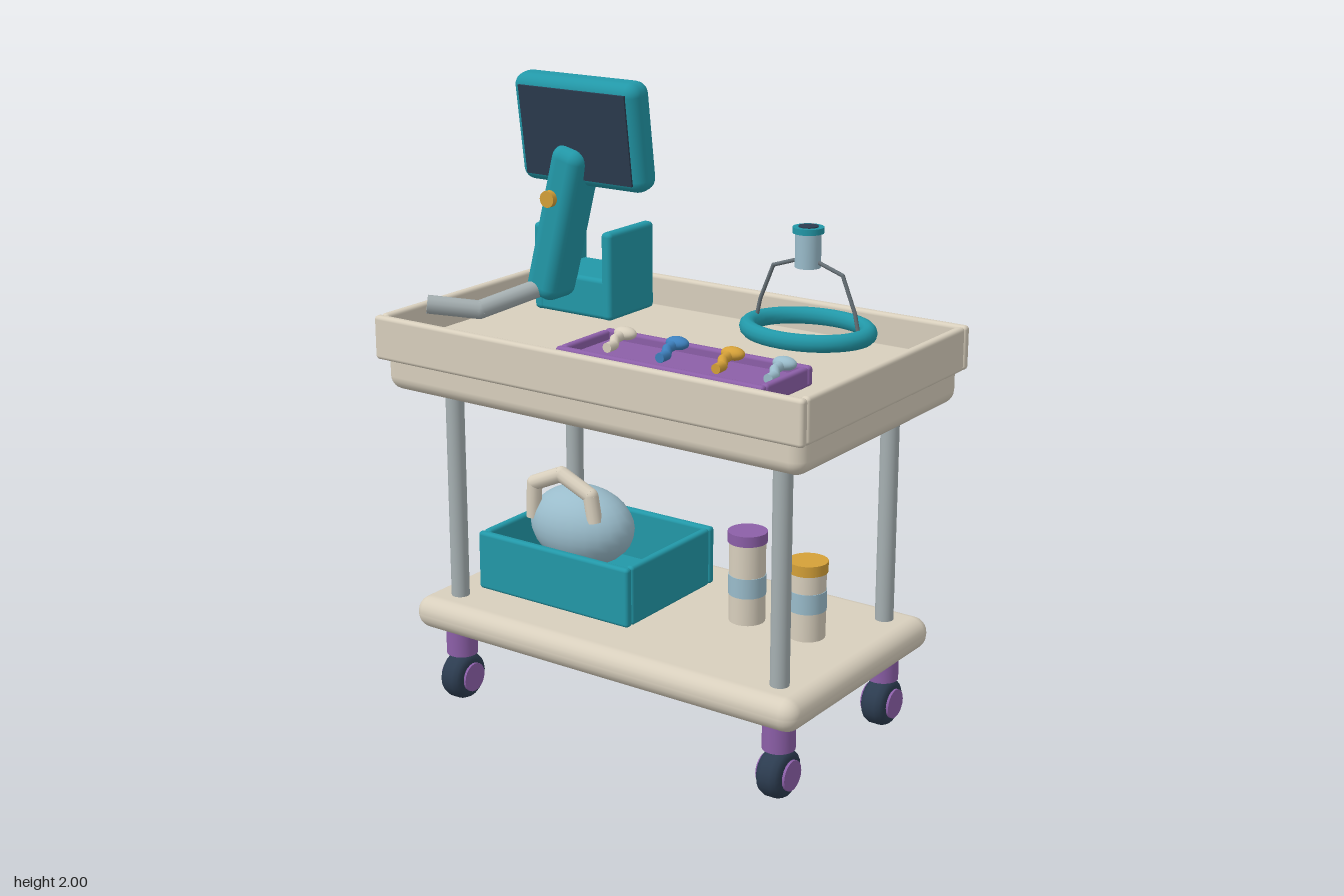
import * as THREE from 'three';
import { RoundedBoxGeometry } from 'three/addons/geometries/RoundedBoxGeometry.js';

const material = (name, color) => {
  const m = new THREE.MeshStandardMaterial({ color });
  m.name = name;
  return m;
};

export function createModel() {
  const model = new THREE.Group();
  model.name = 'equipmentCart';
  const teal = material('teal', 0x2298a8);
  const cream = material('cream', 0xd8cfbd);
  const purple = material('purple', 0x8c5fa8);
  const gold = material('gold', 0xd4a038);
  const navy = material('navy', 0x2c3c50);
  const grey = material('grey', 0xa6b0b2);
  const paleBlue = material('paleBlue', 0x9abccb);
  const blue = material('blue', 0x3d80bd);
  const wire = material('wireGrey', 0x667076);

  const group = (name, parent = model) => {
    const g = new THREE.Group();
    g.name = name;
    parent.add(g);
    return g;
  };
  const add = (name, geometry, mat, x, y, z, parent = model) => {
    const m = new THREE.Mesh(geometry, mat);
    m.name = name;
    m.position.set(x, y, z);
    parent.add(m);
    return m;
  };
  const box = (name, mat, [w, h, d], [x, y, z], r, parent) =>
    add(name, new RoundedBoxGeometry(w, h, d, 3, r), mat, x, y, z, parent);
  const cyl = (name, mat, r, h, [x, y, z], parent, sides = 20) =>
    add(name, new THREE.CylinderGeometry(r, r, h, sides), mat, x, y, z, parent);
  const ball = (name, mat, [rx, ry, rz], [x, y, z], parent) => {
    const m = add(name, new THREE.SphereGeometry(1, 24, 16), mat, x, y, z, parent);
    m.scale.set(rx, ry, rz);
    return m;
  };
  // Round bar through a list of points, with ball joints at the bends
  const bar = (name, mat, r, points, parent = model) => {
    const g = group(name, parent);
    const p = points.map((q) => new THREE.Vector3(...q));
    for (let i = 0; i < p.length - 1; i++) {
      const dir = p[i + 1].clone().sub(p[i]);
      const mid = p[i].clone().add(p[i + 1]).multiplyScalar(0.5);
      const s = cyl(name + 'Segment', mat, r, dir.length(), mid.toArray(), g, 12);
      s.quaternion.setFromUnitVectors(new THREE.Vector3(0, 1, 0), dir.normalize());
      if (i > 0) add(name + 'Joint', new THREE.SphereGeometry(r, 12, 8), mat, ...points[i], g);
    }
    return g;
  };
  // Four walls around a rectangle; w and d are outer sizes
  const walls = (name, mat, w, d, y0, y1, t, [x, z], parent) => {
    const h = y1 - y0, y = (y0 + y1) / 2, r = t * 0.4;
    for (const s of [-1, 1]) {
      box(name + 'LongWall', mat, [w, h, t], [x, y, z + s * (d - t) / 2], r, parent);
      box(name + 'EndWall', mat, [t, h, d - 2 * t], [x + s * (w - t) / 2, y, z], r, parent);
    }
  };

  // Top tray and lower shelf
  const tray = group('topTray');
  box('trayFloor', cream, [1.51, 0.15, 0.9], [0, 1.125, 0], 0.045, tray);
  walls('tray', cream, 1.54, 0.95, 1.15, 1.288, 0.03, [0, 0], tray);
  box('lowerShelf', cream, [1.43, 0.105, 0.82], [0, 0.304, 0], 0.05);

  // Posts and casters
  const tyre = new THREE.LatheGeometry(
    [[0.001, -0.042], [0.055, -0.042], [0.07, -0.032], [0.077, -0.016], [0.077, 0.016],
      [0.07, 0.032], [0.055, 0.042], [0.001, 0.042]].map(([x, y]) => new THREE.Vector2(x, y)), 20);
  for (const x of [-0.603, 0.603]) for (const z of [-0.302, 0.302]) {
    cyl('post', grey, 0.029, 0.78, [x, 0.73, z]);
    const caster = group('caster');
    cyl('casterMount', purple, 0.05, 0.085, [x, 0.2, z], caster);
    add('tyre', tyre, navy, x, 0.08, z, caster).rotation.z = Math.PI / 2;
    cyl('hub', purple, 0.047, 0.1, [x, 0.08, z], caster).rotation.z = Math.PI / 2;
  }

  // Open bin on the shelf
  const bin = group('bin');
  box('binFloor', teal, [0.57, 0.03, 0.455], [-0.285, 0.375, 0], 0.01, bin);
  walls('bin', teal, 0.59, 0.475, 0.362, 0.555, 0.028, [-0.285, 0], bin);

  // Oval pouch with a carrying handle
  const pouch = group('pouch');
  ball('pouchBody', paleBlue, [0.185, 0.13, 0.13], [-0.34, 0.56, 0.002], pouch);
  bar('pouchHandle', cream, 0.025, [[-0.48, 0.58, 0.075], [-0.475, 0.695, 0.075],
    [-0.365, 0.745, 0.075], [-0.25, 0.695, 0.075], [-0.235, 0.61, 0.075]], pouch);

  // Banded jars
  for (const [x, top, lid] of [[0.262, 0.62, purple], [0.48, 0.572, gold]]) {
    const jar = group('jar');
    cyl('jarBody', cream, 0.057, top - 0.36, [x, (top + 0.36) / 2, -0.045], jar);
    cyl('jarBand', paleBlue, 0.059, 0.064, [x, 0.481, -0.045], jar);
    cyl('jarLid', lid, 0.062, 0.034, [x, top + 0.016, -0.045], jar);
  }

  // Holder, leaning arm and display
  const station = group('displayStation');
  box('holderBase', teal, [0.3, 0.13, 0.23], [-0.413, 1.295, -0.17], 0.015, station);
  for (const x of [-0.545, -0.281])
    box('holderSide', teal, [0.04, 0.28, 0.235], [x, 1.37, -0.17], 0.015, station);
  box('displayArm', teal, [0.118, 0.5, 0.146], [-0.405, 1.54, -0.008], 0.04, station).rotation.z = -0.25;
  cyl('armKnob', gold, 0.026, 0.03, [-0.4, 1.625, 0.069], station).rotation.x = Math.PI / 2;
  const display = group('display', station);
  display.position.set(-0.325, 1.83, -0.015);
  display.rotation.x = 0.14;
  box('displayCase', teal, [0.468, 0.34, 0.098], [0, 0, 0], 0.04, display);
  add('displayScreen', new THREE.BoxGeometry(0.4, 0.28, 0.008), navy, 0, 0, 0.05, display);

  // Bent probe lying in the tray
  bar('probe', grey, 0.029, [[-0.47, 1.33, 0.03], [-0.55, 1.288, 0.235], [-0.67, 1.31, 0.34]], station);

  // Oval ring with a wire-held cup
  const ringStand = group('ringStand');
  const ring = add('ring', new THREE.TorusGeometry(0.19, 0.027, 12, 40), teal, 0.4, 1.29, -0.147, ringStand);
  ring.rotation.x = Math.PI / 2;
  ring.scale.y = 0.8;
  for (const s of [-1, 1])
    bar('ringWire', wire, 0.006, [[0.397 + s * 0.178, 1.3, -0.145], [0.397 + s * 0.165, 1.36, -0.145],
      [0.397 + s * 0.12, 1.47, -0.145], [0.397 + s * 0.03, 1.5, -0.145]], ringStand);
  cyl('cup', paleBlue, 0.039, 0.115, [0.397, 1.537, -0.145], ringStand);
  cyl('cupRim', teal, 0.047, 0.018, [0.397, 1.592, -0.145], ringStand);
  cyl('cupOpening', navy, 0.03, 0.006, [0.397, 1.601, -0.145], ringStand);

  // Tool tray with four hooked tools
  const toolTray = group('toolTray');
  box('toolTrayFloor', purple, [0.71, 0.035, 0.25], [0.24, 1.235, 0.277], 0.01, toolTray);
  walls('toolTray', purple, 0.72, 0.265, 1.22, 1.28, 0.025, [0.24, 0.277], toolTray);
  for (const [x, mat] of [[-0.02, cream], [0.168, blue], [0.362, gold], [0.537, paleBlue]]) {
    const tool = group('tool', toolTray);
    ball('toolHead', mat, [0.038, 0.02, 0.026], [x, 1.288, 0.198], tool);
    bar('toolHandle', mat, 0.015, [[x - 0.003, 1.285, 0.205], [x, 1.282, 0.25], [x + 0.022, 1.275, 0.285],
      [x + 0.024, 1.275, 0.322]], tool);
  }
  return model;
}
